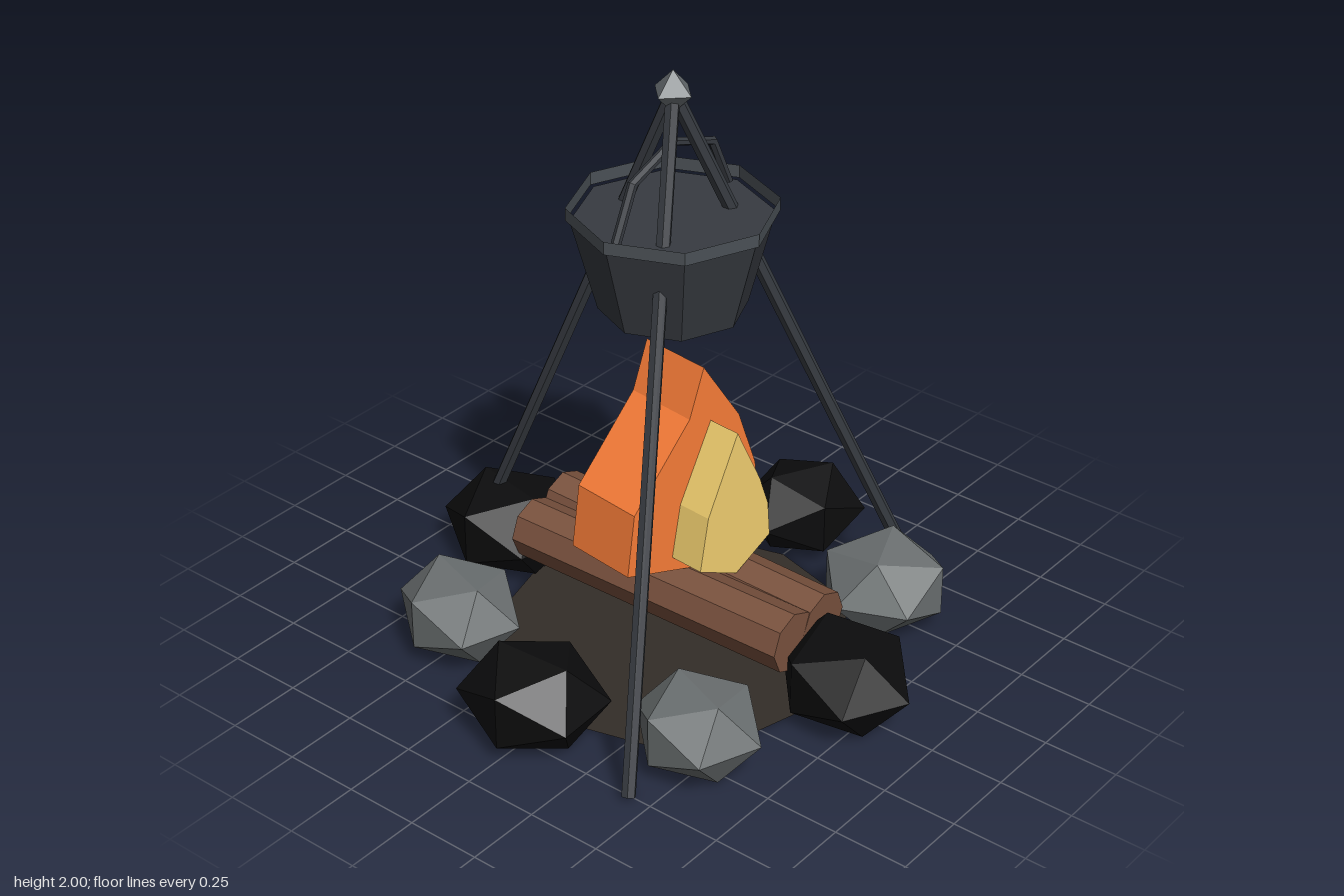
import * as THREE from 'three';

const material = (color, extra = {}) => new THREE.MeshStandardMaterial({ color, flatShading: true, ...extra });
const mats = {
  ash: material(0x332d28, { side: THREE.DoubleSide }),
  coal: material(0x0c0c0d),
  stone: material(0x6b7071),
  iron: material(0x373b41),
  rim: material(0x4a5055, { side: THREE.DoubleSide }),
  finial: material(0x666c70),
  wood: material(0x7a523e),
  orange: material(0xf97d38),
  yellow: material(0xf3d070),
};
const AXIS = -0.02; // x of the tripod's axis

export function createModel() {
  const model = new THREE.Group();
  model.name = 'campfire';

  function add(name, geometry, mat, x, y, z) {
    const mesh = new THREE.Mesh(geometry, mat);
    mesh.name = name;
    mesh.position.set(x, y, z);
    model.add(mesh);
    return mesh;
  }

  // Round bar between two points
  function bar(name, from, to, radius, sides, mat) {
    const dir = to.clone().sub(from);
    const mid = from.clone().add(to).multiplyScalar(0.5);
    const mesh = add(name, new THREE.CylinderGeometry(radius, radius, dir.length(), sides), mat, mid.x, mid.y, mid.z);
    mesh.quaternion.setFromUnitVectors(new THREE.Vector3(0, 1, 0), dir.normalize());
    return mesh;
  }

  // Flat bed of ash
  add('ashBed', new THREE.CircleGeometry(0.59, 12), mats.ash, AXIS, 0.005, 0).rotation.x = -Math.PI / 2;

  // Ring of stones: x, z, turn in degrees, half sizes along its own x, y, z
  const rocks = [
    ['coalStone', -0.70, 0, 93, 0.25, 0.172, 0.217],
    ['coalStone', 0.668, 0, -27, 0.218, 0.162, 0.2],
    ['coalStone', -0.018, -0.7, 79, 0.247, 0.174, 0.221],
    ['coalStone', -0.02, 0.68, 62, 0.25, 0.174, 0.217],
    ['greyStone', -0.503, -0.487, 72, 0.234, 0.162, 0.2],
    ['greyStone', 0.465, -0.487, 72, 0.234, 0.162, 0.2],
    ['greyStone', -0.505, 0.487, 69, 0.222, 0.162, 0.205],
    ['greyStone', 0.47, 0.48, 23, 0.228, 0.165, 0.225],
  ];
  for (const [name, x, z, turn, sx, sy, sz] of rocks) {
    const rock = add(name, new THREE.IcosahedronGeometry(1, 0), name === 'coalStone' ? mats.coal : mats.stone, x, 0.155, z);
    rock.scale.set(sx, sy, sz);
    rock.rotation.y = THREE.MathUtils.degToRad(turn);
  }

  // Two logs side by side
  for (const [x, y, tilt] of [[-0.09, 0.245, -0.006], [0.06, 0.258, 0.012]]) {
    bar('log', new THREE.Vector3(x, y - tilt, 0.535), new THREE.Vector3(x, y + tilt, -0.535), 0.103, 8, mats.wood);
  }

  // Flames: slabs cut to an outline and turned slightly
  function flame(name, outline, depth, mat, x, z, turn) {
    const shape = new THREE.Shape(outline.map(([px, py]) => new THREE.Vector2(px, py)));
    const geometry = new THREE.ExtrudeGeometry(shape, { depth, bevelEnabled: false });
    geometry.translate(0, 0, -depth / 2);
    add(name, geometry, mat, x, 0, z).rotation.y = turn;
  }
  flame('outerFlame', [
    [0, 0.325], [0.25, 0.42], [0.225, 0.615], [0.15, 0.82], [-0.005, 1.05],
    [-0.065, 0.89], [-0.3, 0.645], [-0.33, 0.435],
  ], 0.25, mats.orange, -0.005, 0, -0.12);
  flame('innerFlame', [
    [0, 0.335], [0.155, 0.41], [0.145, 0.53], [0.105, 0.64], [0, 0.85],
    [-0.13, 0.6], [-0.165, 0.42],
  ], 0.13, mats.yellow, 0.002, 0.175, -0.08);

  // Tripod legs and the knot on top
  const apex = new THREE.Vector3(AXIS, 1.93, 0);
  for (let i = 0; i < 3; i++) {
    const a = Math.PI / 6 + i * Math.PI * 2 / 3;
    const foot = new THREE.Vector3(AXIS + 0.865 * Math.cos(a), 0.02, 0.865 * Math.sin(a));
    bar('tripodLeg', foot, apex, 0.023, 6, mats.iron);
  }
  add('tripodKnot', new THREE.OctahedronGeometry(0.069), mats.finial, AXIS, 1.932, 0);

  // Cauldron: tapered body, open rim band and arched handle
  add('cauldron', new THREE.CylinderGeometry(0.31, 0.23, 0.3, 8), mats.iron, AXIS, 1.375, 0);
  add('cauldronRim', new THREE.CylinderGeometry(0.322, 0.322, 0.042, 8, 1, true), mats.rim, AXIS, 1.548, 0);
  add('cauldronHandle', new THREE.TorusGeometry(0.265, 0.016, 6, 4, Math.PI), mats.iron, AXIS, 1.54, 0).scale.y = 0.87;

  return model;
}
